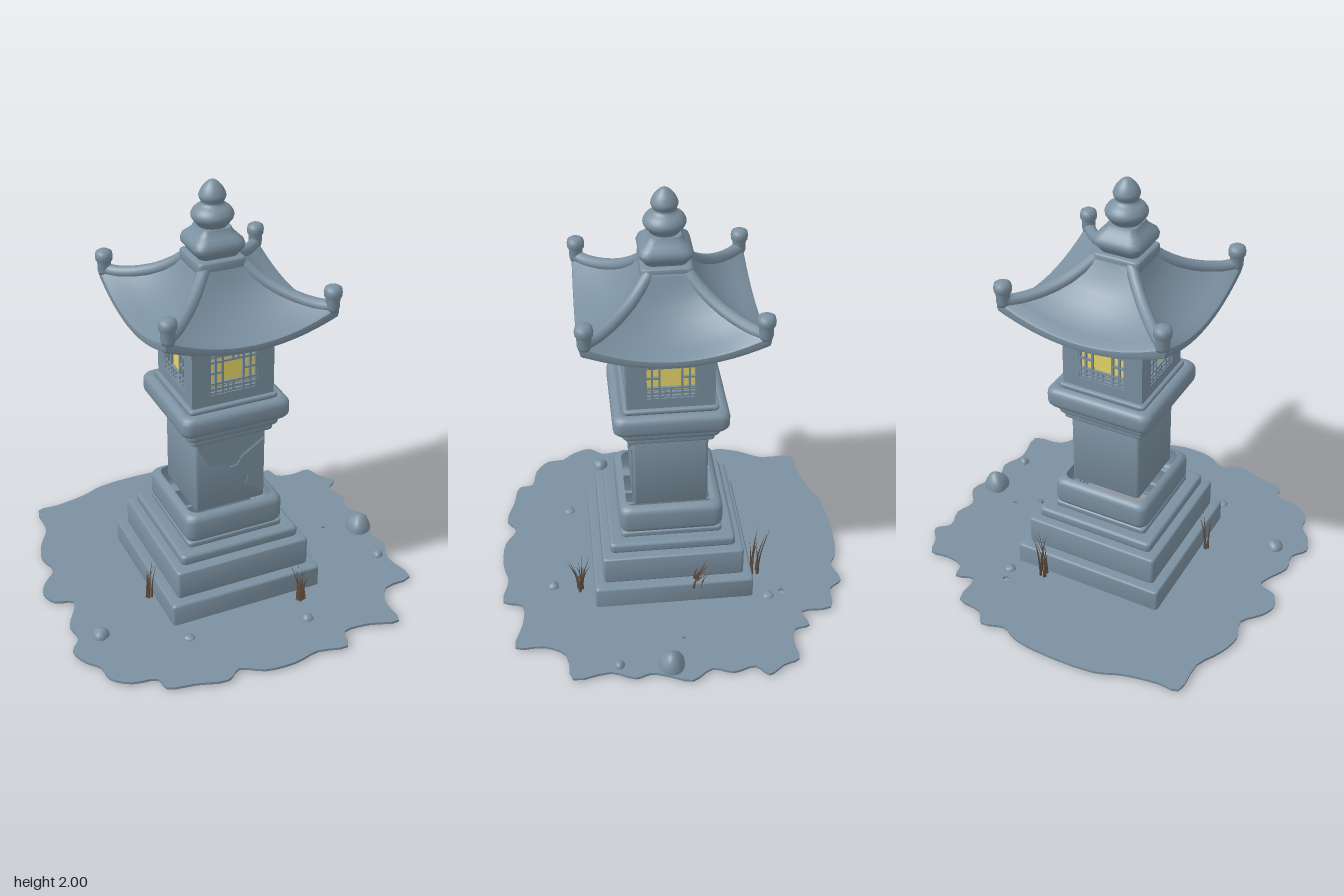
import * as THREE from 'three';
import { toCreasedNormals, mergeGeometries } from 'three/addons/utils/BufferGeometryUtils.js';

const stone = new THREE.MeshStandardMaterial({ color: 0x7b90a0, side: THREE.DoubleSide });
stone.name = 'stone';
const glow = new THREE.MeshStandardMaterial({ color: 0xeedc6c });
glow.name = 'glowing paper';
const dryGrass = new THREE.MeshStandardMaterial({ color: 0x5e4c3f, side: THREE.DoubleSide });
dryGrass.name = 'dry grass';

let seed = 7;
const rand = () => (seed = (seed * 16807) % 2147483647) / 2147483647;

function add(parent, name, geometry, material, x = 0, y = 0, z = 0) {
  const mesh = new THREE.Mesh(geometry, material);
  mesh.name = name;
  mesh.position.set(x, y, z);
  parent.add(mesh);
  return mesh;
}

// Skin a stack of rings, listed bottom to top, with optional end caps
function skin(rings, capBottom, capTop, crease = 0.6) {
  const n = rings[0].length, pos = [], idx = [];
  rings.forEach((r) => r.forEach((p) => pos.push(...p)));
  for (let i = 0; i < rings.length - 1; i++) {
    for (let k = 0; k < n; k++) {
      const a = i * n + k, b = i * n + (k + 1) % n;
      idx.push(a, b, b + n, a, b + n, a + n);
    }
  }
  const cap = (i, up) => {
    const c = pos.length / 3;
    pos.push(0, rings[i][0][1], 0);
    for (let k = 0; k < n; k++) {
      const a = i * n + k, b = i * n + (k + 1) % n;
      idx.push(c, up ? a : b, up ? b : a);
    }
  };
  if (capBottom) cap(0, false);
  if (capTop) cap(rings.length - 1, true);
  const g = new THREE.BufferGeometry();
  g.setAttribute('position', new THREE.Float32BufferAttribute(pos, 3));
  g.setIndex(idx);
  return toCreasedNormals(g, crease);
}

// Rounded square ring
function squareRing(half, y, radius) {
  const ring = [];
  for (let c = 0; c < 4; c++) {
    const sx = [1, -1, -1, 1][c], sz = [1, 1, -1, -1][c];
    for (let k = 0; k <= 5; k++) {
      const t = (c + k / 5) * Math.PI / 2;
      ring.push([sx * (half - radius) + radius * Math.cos(t), y, -sz * (half - radius) - radius * Math.sin(t)]);
    }
  }
  return ring;
}

// Rings for one square course with rounded edges
function course(half, y0, y1, bevel, radius) {
  const rings = [];
  for (const end of [0, 1]) {
    for (let k = 0; k <= 4; k++) {
      const t = (end ? k : 4 - k) / 4 * Math.PI / 2;
      const inset = bevel * (1 - Math.cos(t)), rise = bevel * (1 - Math.sin(t));
      rings.push(squareRing(half - inset, end ? y1 - rise : y0 + rise, Math.min(radius, half - inset)));
    }
  }
  return rings;
}

// Four-sided roof ring whose corners lift and pull in
function roofRing([half, y, lift, pull]) {
  const ring = [];
  for (let side = 0; side < 4; side++) {
    for (let k = 0; k < 16; k++) {
      const u = k / 8 - 1;
      let x = half * (1 - pull * u * u), z = -half * u * (1 - pull);
      for (let s = 0; s < side; s++) [x, z] = [z, -x];
      ring.push([x, y + lift * u * u, z]);
    }
  }
  return ring;
}

const vectors = (points) => points.map((p) => new THREE.Vector2(...p));

function buildGround(parent) {
  const outline = [
    [-.68, -.75], [-.58, -.755], [-.42, -.785], [-.3, -.83], [0, -.84], [.12, -.82], [.19, -.785], [.3, -.81],
    [.35, -.75], [.475, -.725], [.49, -.58], [.58, -.6], [.6, -.53], [.69, -.51], [.78, -.515], [.81, -.44],
    [.86, -.365], [.805, -.31], [.83, -.21], [.8, -.115], [.86, -.02], [.82, .09], [.8, .16], [.82, .23],
    [.775, .34], [.795, .51], [.65, .535], [.59, .63], [.58, .765], [.44, .73], [.315, .73], [.28, .82],
    [.14, .795], [.02, .82], [-.125, .81], [-.23, .755], [-.3, .8], [-.44, .765], [-.565, .735], [-.58, .67],
    [-.69, .645], [-.77, .58], [-.78, .5], [-.83, .44], [-.86, .35], [-.81, .28], [-.82, .185], [-.76, .07],
    [-.75, .02], [-.83, -.01], [-.86, -.09], [-.83, -.16], [-.76, -.245], [-.785, -.35], [-.755, -.46], [-.69, -.58],
  ];
  const curve = new THREE.CatmullRomCurve3(outline.map(([x, z]) => new THREE.Vector3(x, -z, 0)), true);
  const shape = new THREE.Shape(curve.getPoints(168).slice(0, -1).map((p) => new THREE.Vector2(p.x, p.y)));
  shape.holes.push(new THREE.Path(vectors([[-.37, -.37], [-.37, .36], [.355, .36], [.355, -.37]])));
  for (const [x, z, r] of [[.35, -.51, .018], [.605, -.01, .01]]) {
    shape.holes.push(new THREE.Path().absellipse(x, -z, r, r * 0.8, 0, Math.PI * 2, true));
  }
  const g = new THREE.ExtrudeGeometry(shape, { depth: 0.012, bevelEnabled: false, curveSegments: 6 });
  add(parent, 'ground', g.rotateX(-Math.PI / 2), stone, 0, 0.01, 0);

  // Domed stones lying on the ground
  for (const [x, z, r, h] of [[.765, .065, .062, .1], [-.71, .3, .04, .056], [.74, .3, .026, .045],
    [.2, .58, .028, .042], [.37, -.44, .027, .038], [-.35, .48, .026, .035]]) {
    const s = new THREE.SphereGeometry(1, 16, 8, 0, Math.PI * 2, 0, Math.PI / 2);
    const p = s.attributes.position;
    for (let i = 0; i < p.count; i++) {
      const k = 1 + 0.08 * Math.sin(3 * p.getX(i) + x * 9) * Math.cos(4 * p.getZ(i));
      p.setXYZ(i, p.getX(i) * r * k, p.getY(i) * (h - 0.02) * k, p.getZ(i) * r * k);
    }
    s.computeVertexNormals();
    add(parent, 'pebble', s, stone, x, 0.02, z);
  }
}

// Tuft of tapering blades that bend outward
function buildTuft(parent, x, y, z, height, count, spread, leanX, leanZ) {
  const blades = [];
  for (let i = 0; i < count; i++) {
    const len = height * (0.5 + 0.5 * rand()), a = i * 2.4, bend = spread * (0.4 + 0.6 * rand());
    const g = new THREE.ConeGeometry(0.006, len, 4, 5).translate(0, len / 2, 0);
    const p = g.attributes.position;
    const ox = (rand() - 0.5) * 0.04, oz = (rand() - 0.5) * 0.04;
    for (let k = 0; k < p.count; k++) {
      const t = (p.getY(k) / len) ** 2;
      p.setX(k, p.getX(k) + ox + t * (bend * Math.cos(a) + leanX));
      p.setZ(k, p.getZ(k) + oz + t * (bend * Math.sin(a) + leanZ));
    }
    g.computeVertexNormals();
    blades.push(g);
  }
  add(parent, 'grassTuft', mergeGeometries(blades), dryGrass, x, y, z);
}

// One firebox wall facing +z: framed opening, glowing pane and lattice
function buildWindow() {
  const wall = new THREE.Group();
  wall.name = 'windowWall';
  const s = new THREE.Shape(vectors([[-.197, 1.01], [.197, 1.01], [.197, 1.32], [-.197, 1.32]]));
  s.holes.push(new THREE.Path(vectors([[-.115, 1.085], [-.115, 1.29], [.115, 1.29], [.115, 1.085]])));
  add(wall, 'windowFrame', new THREE.ExtrudeGeometry(s, { depth: 0.025, bevelEnabled: false }), stone, 0, 0, 0.172);
  add(wall, 'windowBack', new THREE.BoxGeometry(0.24, 0.215, 0.006), stone, 0, 1.187, 0.172);
  add(wall, 'pane', new THREE.BoxGeometry(0.228, 0.14, 0.006), glow, 0, 1.19, 0.178);
  const bar = (x, y, w, h) => add(wall, 'latticeBar', new THREE.BoxGeometry(w, h, 0.012), stone, x, y, 0.189);
  for (const m of [-1, 1]) {
    for (const d of [0.05, 0.083, 0.111]) bar(m * d, 1.187, 0.009, 0.205);
    for (const d of [0.053, 0.078, 0.098]) bar(0, 1.19 + m * d, 0.23, 0.009);
    bar(m * 0.082, 1.19, 0.066, 0.009);
    bar(0, 1.19 + m * 0.077, 0.009, 0.05);
    bar(m * 0.025, 1.19 + m * 0.077, 0.008, 0.05);
  }
  return wall;
}

export function createModel() {
  const model = new THREE.Group();
  model.name = 'stoneLantern';
  buildGround(model);
  buildTuft(model, .235, .015, .45, .2, 13, .07, 0, .01);
  buildTuft(model, -.415, .015, .14, .22, 7, .03, .01, 0);
  buildTuft(model, .21, .015, -.4, .3, 9, .06, 0, -.02);
  buildTuft(model, .345, .1, -.1, .17, 11, .035, .01, -.07);

  const lantern = new THREE.Group();
  lantern.name = 'lantern';
  lantern.position.set(-0.01, 0, 0.007);
  model.add(lantern);

  // Hollow stepped base
  add(lantern, 'steppedBase', skin([
    ...course(.375, 0, .13, .012, .015),
    ...course(.332, .13, .275, .012, .015),
    ...course(.295, .278, .33, .014, .02),
    ...course(.238, .325, .355, .008, .02),
    ...course(.243, .345, .49, .035, .045)], false, false), stone);

  // Shaft with raised broken faces
  add(lantern, 'shaft', skin(course(.174, .47, .86, .008, .014), false, true), stone);
  const chip = (name, points) => add(lantern, name, new THREE.ExtrudeGeometry(
    new THREE.Shape(vectors(points)), { depth: 0.009, bevelEnabled: false }), stone, 0, 0, 0.17);
  chip('upperBrokenFace', [[-.165, .85], [-.165, .81], [-.11, .71], [.02, .69], [.05, .74], [.165, .81], [.165, .85]]);
  chip('lowerBrokenFace', [[-.005, .675], [.085, .61], [.075, .565], [.165, .5], [.165, .79], [.06, .725], [.03, .68]]);

  // Collar under the firebox
  add(lantern, 'collar', skin([
    ...course(.2, .84, .875, .008, .02),
    ...course(.222, .87, .925, .02, .03),
    ...course(.262, .915, 1.02, .034, .045),
    ...course(.215, 1.01, 1.035, .01, .02)], true, true), stone);

  // Firebox with a window on each side
  const firebox = new THREE.Group();
  firebox.name = 'firebox';
  lantern.add(firebox);
  for (let i = 0; i < 4; i++) {
    const wall = buildWindow();
    wall.rotation.y = i * Math.PI / 2;
    firebox.add(wall);
  }
  add(lantern, 'cornice', skin([
    ...course(.205, 1.3, 1.32, .005, .01),
    ...course(.225, 1.315, 1.35, .01, .015),
    ...course(.24, 1.348, 1.385, .008, .015)], true, true), stone);

  // Flared roof: half width, height, corner lift, corner pull-in
  add(lantern, 'roof', skin([
    [.2, 1.372, 0, 0], [.3, 1.372, .03, 0], [.385, 1.375, .07, .012], [.397, 1.378, .08, .015],
    [.401, 1.39, .088, .015], [.399, 1.408, .092, .015], [.388, 1.414, .092, .012], [.34, 1.425, .08, .008],
    [.28, 1.452, .064, 0], [.23, 1.485, .05, 0], [.18, 1.53, .036, 0], [.14, 1.585, .018, 0],
    [.11, 1.65, 0, 0]].map(roofRing), true, true), stone);

  // Hip ridges ending in upright knobs
  const path = new THREE.CatmullRomCurve3([[.085, 1.645], [.14, 1.588], [.2, 1.544], [.28, 1.51], [.34, 1.5], [.378, 1.506]]
    .map(([d, y]) => new THREE.Vector3(d, y, d)));
  const knob = [[0, 1.48], [.026, 1.482], [.031, 1.5], [.031, 1.54], [.038, 1.55], [.04, 1.57], [.036, 1.588], [.022, 1.597], [0, 1.6]];
  for (let i = 0; i < 4; i++) {
    const corner = new THREE.Group();
    corner.name = 'roofCorner';
    corner.rotation.y = i * Math.PI / 2;
    lantern.add(corner);
    add(corner, 'ridge', new THREE.TubeGeometry(path, 20, 0.028, 10), stone);
    add(corner, 'ridgeKnob', new THREE.LatheGeometry(vectors(knob), 18), stone, .374, 0, .374);
  }

  // Finial: square plate and cap, then round bulb and pointed bud
  const finial = new THREE.Group();
  finial.name = 'finial';
  finial.position.set(-0.015, 0, 0.006);
  lantern.add(finial);
  add(finial, 'finialBase', skin([
    ...course(.112, 1.62, 1.675, .012, .02),
    ...[[.09, 1.678], [.1, 1.695], [.114, 1.712], [.117, 1.73], [.11, 1.75], [.09, 1.768], [.074, 1.785], [.068, 1.8]]
      .map(([h, y]) => squareRing(h, y, h * 0.4))], true, true), stone);
  const bud = new THREE.SplineCurve(vectors([[.06, 1.795], [.075, 1.815], [.09, 1.835], [.092, 1.855], [.078, 1.877],
    [.056, 1.893], [.049, 1.905], [.057, 1.922], [.058, 1.938], [.046, 1.964], [.026, 1.987], [.012, 1.997], [0, 2]]));
  const profile = bud.getPoints(44).map((p) => new THREE.Vector2(Math.max(p.x, 0), p.y));
  add(finial, 'finialBud', new THREE.LatheGeometry(profile, 28), stone);
  return model;
}
